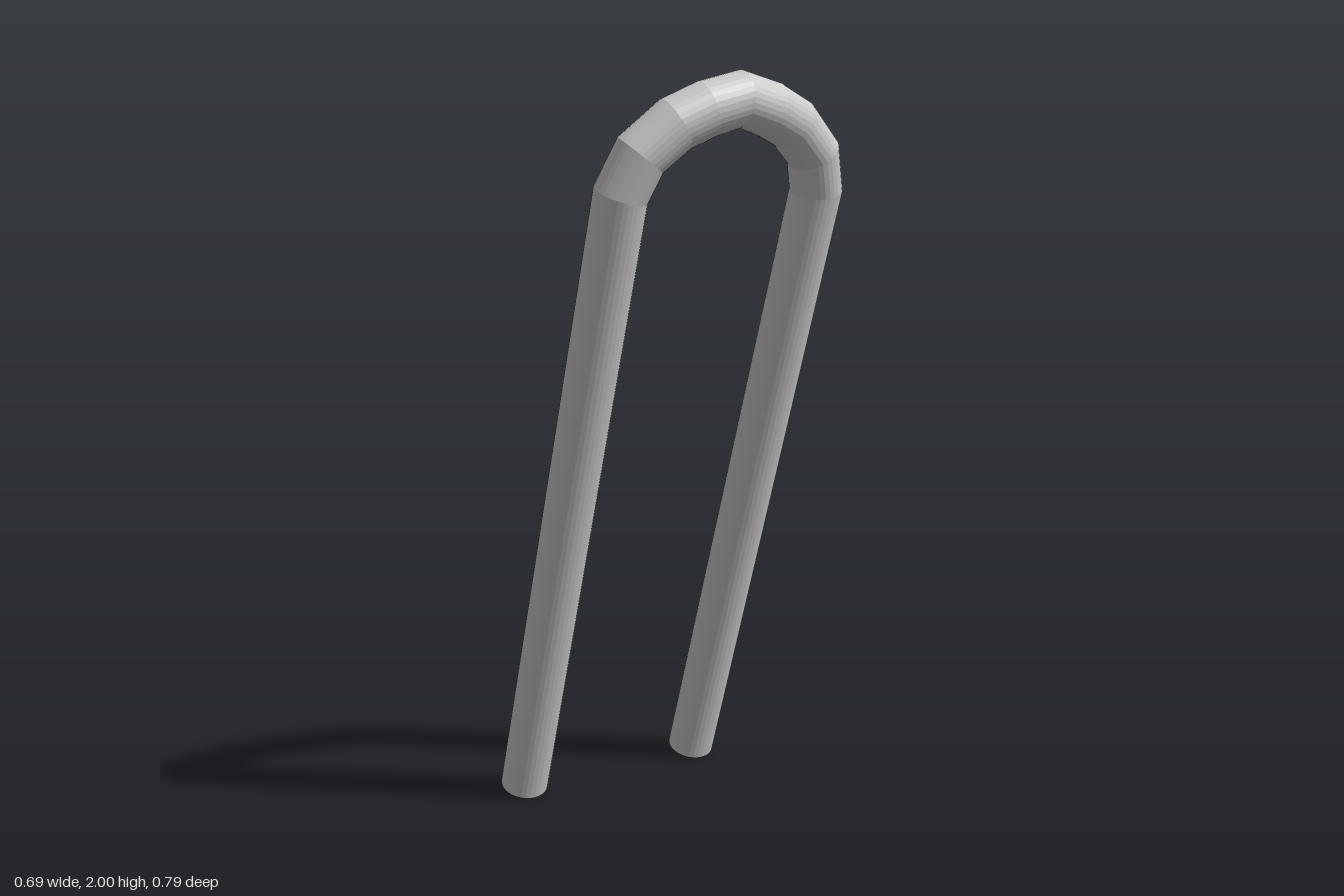
import * as THREE from 'three';

const RADIUS = 0.067, SIDES = 32, TILT = 0.334;

// Ring of points at path[i], mitred between the neighbouring segments
function ring(path, i) {
  const t = new THREE.Vector2();
  if (i > 0) t.add(path[i].clone().sub(path[i - 1]).normalize());
  if (i < path.length - 1) t.add(path[i + 1].clone().sub(path[i]).normalize());
  t.normalize();
  const points = [];
  for (let j = 0; j <= SIDES; j++) {
    const a = (j / SIDES) * Math.PI * 2;
    const u = RADIUS * Math.cos(a);
    points.push(path[i].x + u * t.y, path[i].y - u * t.x, RADIUS * Math.sin(a));
  }
  return points;
}

// Skin over consecutive rings from index first to last
function skin(path, first, last) {
  const positions = [], index = [], row = SIDES + 1;
  for (let i = first; i <= last; i++) positions.push(...ring(path, i));
  for (let i = 0; i < last - first; i++) {
    for (let j = 0; j < SIDES; j++) {
      const a = i * row + j, b = a + row;
      index.push(a, b, a + 1, b, b + 1, a + 1);
    }
  }
  const geometry = new THREE.BufferGeometry();
  geometry.setAttribute('position', new THREE.Float32BufferAttribute(positions, 3));
  geometry.setIndex(index);
  geometry.computeVertexNormals();
  return geometry;
}

export function createModel() {
  const material = new THREE.MeshStandardMaterial({ color: 0xcccccc, flatShading: true });
  const model = new THREE.Group();
  model.name = 'bentRod';

  // Centre line: up the left leg, over the bend, down the right leg
  const half = [[0.28, 0], [0.28, 1.792], [0.245, 1.888], [0.165, 1.962], [0.088, 1.998]]
    .map(([x, y]) => new THREE.Vector2(x, y));
  const mirrored = half.map(p => new THREE.Vector2(-p.x, p.y)).reverse();
  const path = [...half, new THREE.Vector2(0, 2.023), ...mirrored];
  const end = path.length - 1;

  const add = (name, geometry) => {
    const mesh = new THREE.Mesh(geometry, material);
    mesh.name = name;
    model.add(mesh);
    return mesh;
  };
  add('leftLeg', skin(path, 0, 1));
  add('bend', skin(path, 1, end - 1));
  add('rightLeg', skin(path, end - 1, end));

  // Flat ends of the legs
  for (const [name, x] of [['leftEnd', 0.28], ['rightEnd', -0.28]]) {
    const cap = add(name, new THREE.CircleGeometry(RADIUS, SIDES).rotateX(Math.PI / 2));
    cap.position.x = x;
  }

  // Lean the whole rod forward, with the leg ends resting on the floor
  model.rotation.x = TILT;
  model.position.set(0, RADIUS * Math.sin(TILT), -0.332);
  return model;
}
